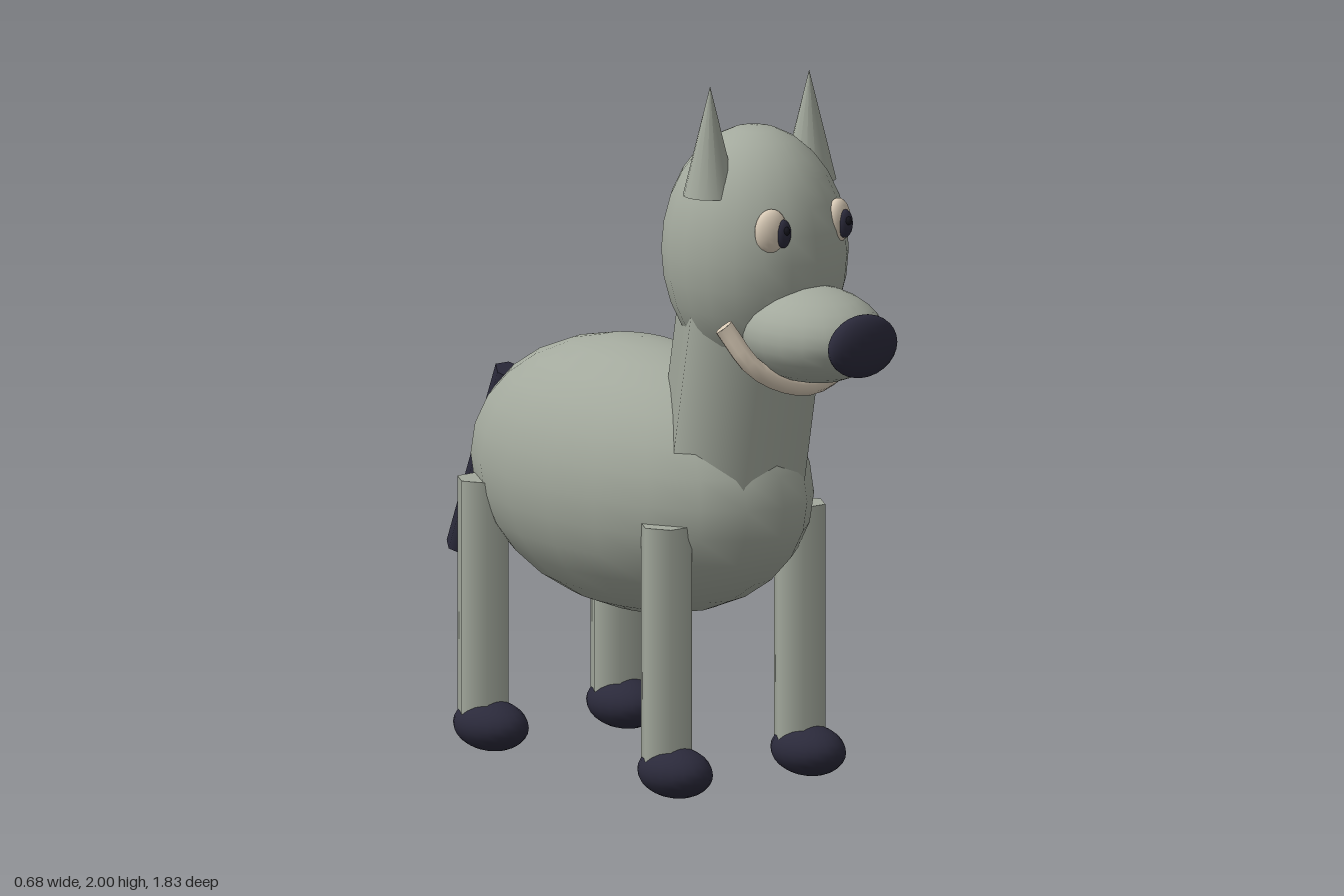
import * as THREE from 'three';

const mat = (name, color) => {
  const m = new THREE.MeshStandardMaterial({ color });
  m.name = name;
  return m;
};

export function createModel() {
  const root = new THREE.Group();
  root.name = 'dog';
  const coat = mat('grey coat', 0xa3a99d);
  const dark = mat('dark navy', 0x2b2a3b);
  const cream = mat('cream', 0xd8cab6);
  const black = mat('black', 0x14141c);

  const add = (name, geometry, material, [x, y, z]) => {
    const mesh = new THREE.Mesh(geometry, material);
    mesh.name = name;
    mesh.position.set(x, y, z);
    root.add(mesh);
    return mesh;
  };
  const ball = (name, material, position, radii, w = 20, h = 14) =>
    add(name, new THREE.SphereGeometry(1, w, h).scale(...radii), material, position);
  // six-sided post with corners on the left and right
  const post = (r, length) =>
    new THREE.CylinderGeometry(r, r, length, 6, 1, false, Math.PI / 6);

  // body, neck and head
  ball('body', coat, [0, 0.81, -0.09], [0.342, 0.38, 0.617]);
  add('neck', post(0.215, 0.62), coat, [0, 1.1, 0.338]).rotation.x = 0.186;
  ball('head', coat, [0, 1.52, 0.4], [0.25, 0.345, 0.27]);
  ball('muzzle', coat, [0, 1.322, 0.65], [0.18, 0.133, 0.23]);
  ball('nose', dark, [0, 1.322, 0.868], [0.117, 0.088, 0.045]);

  // smiling mouth
  const smile = new THREE.CatmullRomCurve3([
    [-0.235, 1.355, 0.553], [-0.165, 1.235, 0.61], [0, 1.174, 0.636],
    [0.165, 1.235, 0.61], [0.235, 1.355, 0.553],
  ].map((p) => new THREE.Vector3(...p)));
  add('mouth', new THREE.TubeGeometry(smile, 16, 0.028, 8), cream, [0, 0, 0]);
  for (const end of [0, 1]) {
    const p = smile.getPoint(end);
    const cap = add('mouthEnd', new THREE.CircleGeometry(0.028, 8), cream, p.toArray());
    const out = smile.getTangent(end).multiplyScalar(end ? 1 : -1);
    cap.quaternion.setFromUnitVectors(new THREE.Vector3(0, 0, 1), out);
  }

  for (const s of [-1, 1]) {
    const side = s > 0 ? 'left' : 'right';
    // ears
    add(side + 'Ear', new THREE.ConeGeometry(0.075, 0.305, 16), coat, [s * 0.175, 1.8475, 0.42]);

    // eyes, both glancing to the left
    ball(side + 'Eye', cream, [s * 0.118, 1.617, 0.615], [0.047, 0.063, 0.03], 16, 12)
      .rotation.y = s * 0.35;
    const px = s > 0 ? 0.122 : -0.096;
    ball(side + 'Pupil', dark, [px, 1.612, 0.641], [0.024, 0.04, 0.018], 12, 10);
    ball(side + 'PupilCentre', black, [px, 1.622, 0.656], [0.01, 0.012, 0.01], 8, 6);

    // legs and feet
    for (const [end, legZ, footZ] of [['Front', 0.305, 0.342], ['Back', -0.494, -0.459]]) {
      add(side + end + 'Leg', post(0.075, 0.68), coat, [s * 0.235, 0.42, legZ]);
      ball(side + end + 'Foot', dark, [s * 0.235, 0.073, footZ], [0.088, 0.071, 0.125]);
    }
  }

  // tail
  add('tail', post(0.046, 0.57), dark, [0, 0.737, -0.769]).rotation.x = 0.383;
  return root;
}
